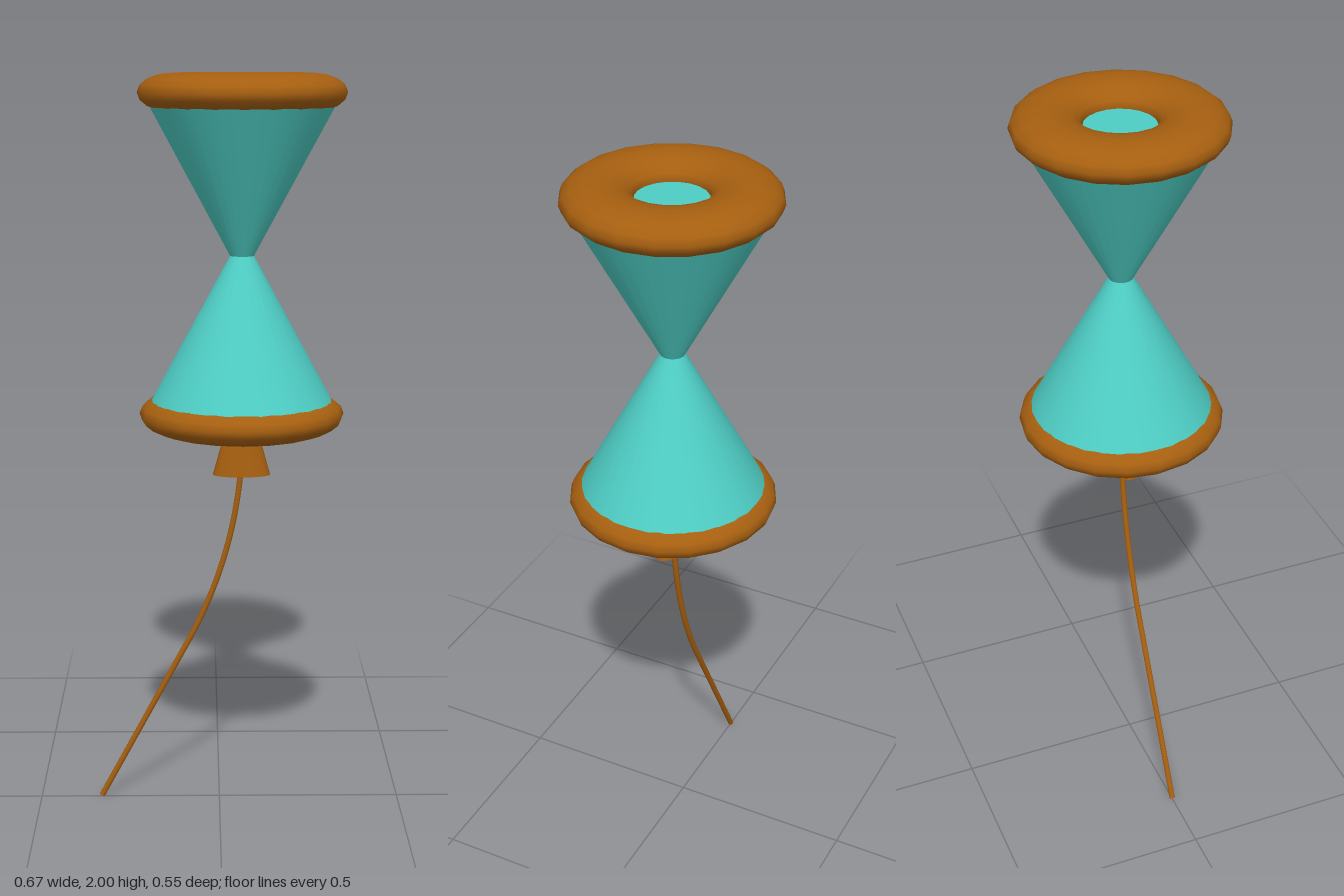
import * as THREE from 'three';

export function createModel() {
  const wood = new THREE.MeshStandardMaterial({ color: 0xa65f10 });
  wood.name = 'brown';
  const teal = new THREE.MeshStandardMaterial({ color: 0x4ecdc4 });
  teal.name = 'teal';

  const model = new THREE.Group();
  model.name = 'hourglassOnString';
  const axisX = 0.06;

  const add = (name, geometry, material, x, y, z = 0) => {
    const mesh = new THREE.Mesh(geometry, material);
    mesh.name = name;
    mesh.position.set(x, y, z);
    model.add(mesh);
    return mesh;
  };

  // Flattened rings at both ends
  const ring = new THREE.TorusGeometry(0.184, 0.091, 16, 20);
  ring.rotateX(Math.PI / 2);
  ring.scale(1, 0.05 / 0.091, 1);
  add('topRing', ring, wood, axisX, 1.95);
  add('bottomRing', ring, wood, axisX, 1.1);

  // Two cones meeting at a narrow waist, closed inside the rings
  const half = 0.425;
  add('upperCone', new THREE.CylinderGeometry(0.262, 0.032, half, 32), teal, axisX, 1.95 - half / 2);
  add('lowerCone', new THREE.CylinderGeometry(0.032, 0.262, half, 32), teal, axisX, 1.1 + half / 2);

  // Oval flared knot under the lower ring
  const knot = new THREE.CylinderGeometry(0.031, 0.078, 0.17, 20);
  knot.scale(1, 1, 0.5);
  add('knot', knot, wood, axisX, 1.015);

  // String: a bend followed by a straight tail
  const bendEnd = new THREE.Vector3(-0.085, 0.46, 0);
  const tip = new THREE.Vector3(-0.33, 0.004, 0);
  const path = new THREE.CurvePath();
  path.add(new THREE.LineCurve3(new THREE.Vector3(0.06, 1.0, 0), new THREE.Vector3(0.058, 0.94, 0)));
  path.add(new THREE.QuadraticBezierCurve3(
    new THREE.Vector3(0.058, 0.94, 0), new THREE.Vector3(0.036, 0.685, 0), bendEnd));
  path.add(new THREE.LineCurve3(bendEnd, tip));
  add('string', new THREE.TubeGeometry(path, 48, 0.008, 10), wood, 0, 0);

  // Closed end of the string
  const cap = add('stringEnd', new THREE.CircleGeometry(0.008, 10), wood, tip.x, tip.y);
  cap.quaternion.setFromUnitVectors(
    new THREE.Vector3(0, 0, 1), tip.clone().sub(bendEnd).normalize());

  return model;
}
